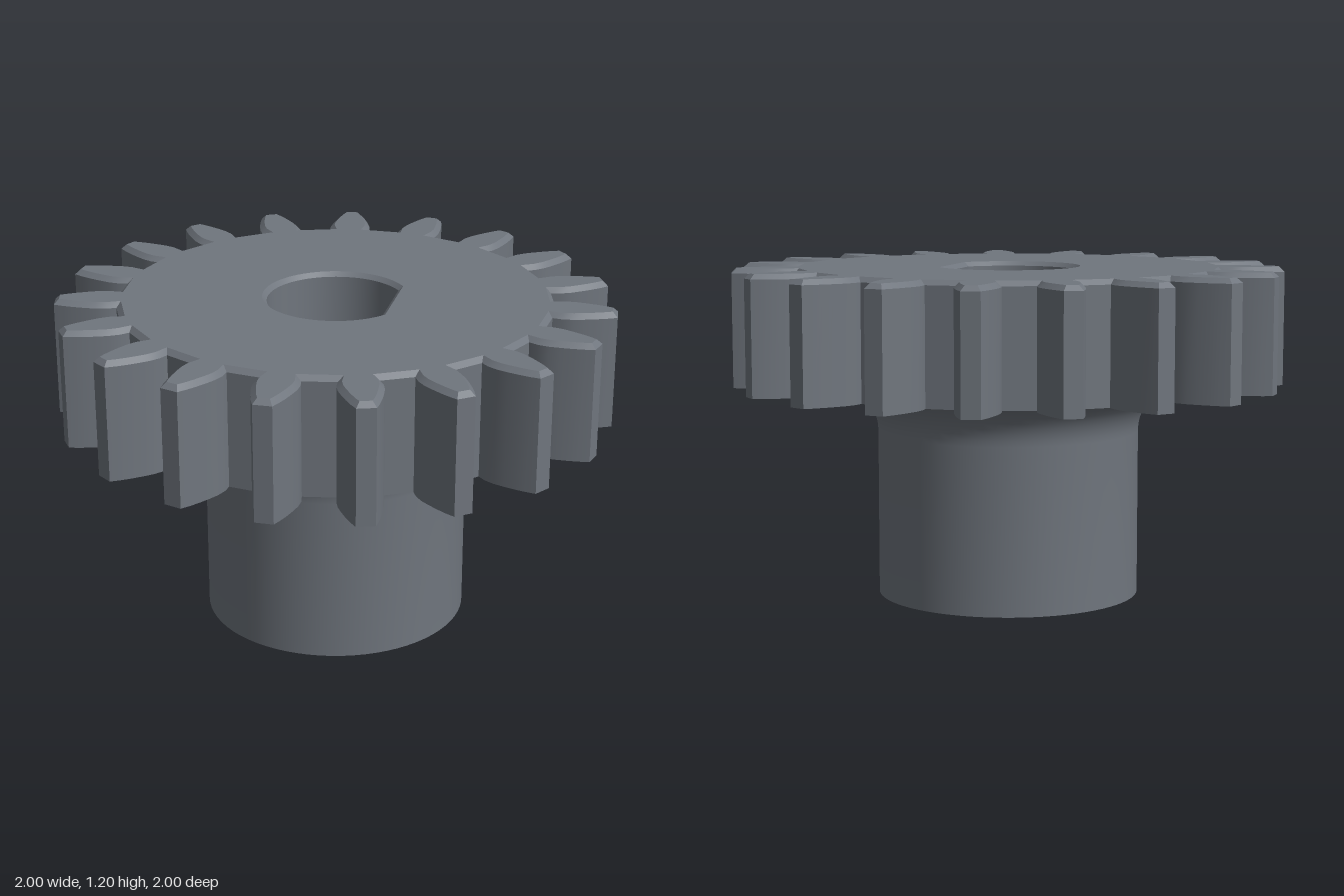
import * as THREE from 'three';
import { mergeGeometries, toCreasedNormals } from 'three/addons/utils/BufferGeometryUtils.js';

const TEETH = 19, BASE = 0.77, TOP = 1.2, CHAMFER = 0.018;
const rad = THREE.MathUtils.degToRad;
const V = (x, y) => new THREE.Vector2(x, y);

// Counter-clockwise toothed outline; plan coordinates are (x, -z)
function gearOutline() {
  const flank = [[0.775, 0.069], [0.81, 0.077], [0.85, 0.076], [0.89, 0.068], [0.93, 0.058], [0.965, 0.047], [1.0, 0.033]];
  const tooth = [
    ...flank.map(([r, w]) => V(r, -w)),
    ...flank.slice().reverse().map(([r, w]) => V(r, w)),
  ];
  const pts = [];
  for (let i = 0; i < TEETH; i++) {
    const a = rad(88.16) + (i * Math.PI * 2) / TEETH;
    tooth.forEach(p => pts.push(p.clone().rotateAround(V(0, 0), a)));
  }
  return pts;
}

// Clockwise D-shaped bore
function boreOutline(r, flat) {
  const half = Math.acos(flat / r), turn = rad(-11.5), n = 56, pts = [];
  for (let i = 0; i <= n; i++) {
    const a = turn - half - (i / n) * (Math.PI * 2 - 2 * half);
    pts.push(V(r * Math.cos(a), r * Math.sin(a)));
  }
  return pts;
}

function circle(r, n = 72) {
  return Array.from({ length: n }, (_, i) => {
    const a = (i / n) * Math.PI * 2;
    return V(r * Math.cos(a), r * Math.sin(a));
  });
}

// Mitred offset to the left of the path, which is the solid side
function inset(pts, d) {
  const n = pts.length;
  const normal = (a, b) => { const e = b.clone().sub(a).normalize(); return V(-e.y, e.x); };
  return pts.map((p, i) => {
    const n1 = normal(pts[(i + n - 1) % n], p), n2 = normal(p, pts[(i + 1) % n]);
    return n1.clone().add(n2).multiplyScalar(d / (1 + n1.dot(n2))).add(p);
  });
}

// Band of quads between two matching loops
function wall(low, y0, high, y1) {
  const pos = [], n = low.length;
  for (let i = 0; i < n; i++) {
    const j = (i + 1) % n;
    const a = [low[i].x, y0, -low[i].y], b = [low[j].x, y0, -low[j].y];
    const c = [high[j].x, y1, -high[j].y], d = [high[i].x, y1, -high[i].y];
    pos.push(...a, ...b, ...c, ...a, ...c, ...d);
  }
  const g = new THREE.BufferGeometry();
  g.setAttribute('position', new THREE.Float32BufferAttribute(pos, 3));
  g.computeVertexNormals();
  return g;
}

// Flat face with a hole, looking up or down
function cap(outer, hole, y, down = false) {
  const shape = new THREE.Shape(outer);
  shape.holes.push(new THREE.Path(hole));
  const g = new THREE.ShapeGeometry(shape);
  if (down) g.index.array.reverse();
  g.rotateX(-Math.PI / 2).translate(0, y, 0);
  const flat = g.toNonIndexed();
  flat.deleteAttribute('uv');
  flat.computeVertexNormals();
  return flat;
}

export function createModel() {
  const group = new THREE.Group();
  const steel = new THREE.MeshStandardMaterial({ color: 0x70767e });
  steel.name = 'grey steel';

  const add = (name, geometry) => {
    const mesh = new THREE.Mesh(toCreasedNormals(geometry, rad(24)), steel);
    mesh.name = name;
    group.add(mesh);
  };

  const outline = gearOutline(), bore = boreOutline(0.246, 0.198);
  const outlineTop = inset(outline, CHAMFER), boreTop = inset(bore, 0.016);

  // Toothed wheel, chamfered along its upper edge
  add('toothedWheel', mergeGeometries([
    wall(outline, BASE, outline, TOP - CHAMFER),
    wall(outline, TOP - CHAMFER, outlineTop, TOP),
    cap(outlineTop, boreTop, TOP),
    cap(outline, circle(0.645), BASE, true),
  ]));

  // D-shaped shaft bore with the ceiling of the hub pocket
  add('shaftBore', mergeGeometries([
    wall(bore, BASE, bore, TOP - 0.016),
    wall(bore, TOP - 0.016, boreTop, TOP),
    cap(circle(0.405), bore, BASE, true),
  ]));

  // Hollow hub that flares into the wheel
  const profile = [V(0.405, BASE), V(0.405, 0), V(0.477, 0)];
  for (let i = 0; i <= 12; i++) {
    const a = (i / 12) * Math.PI / 2;
    profile.push(V(0.645 - 0.168 * Math.cos(a), BASE - 0.168 + 0.168 * Math.sin(a)));
  }
  add('hub', new THREE.LatheGeometry(profile, 72));

  return group;
}
